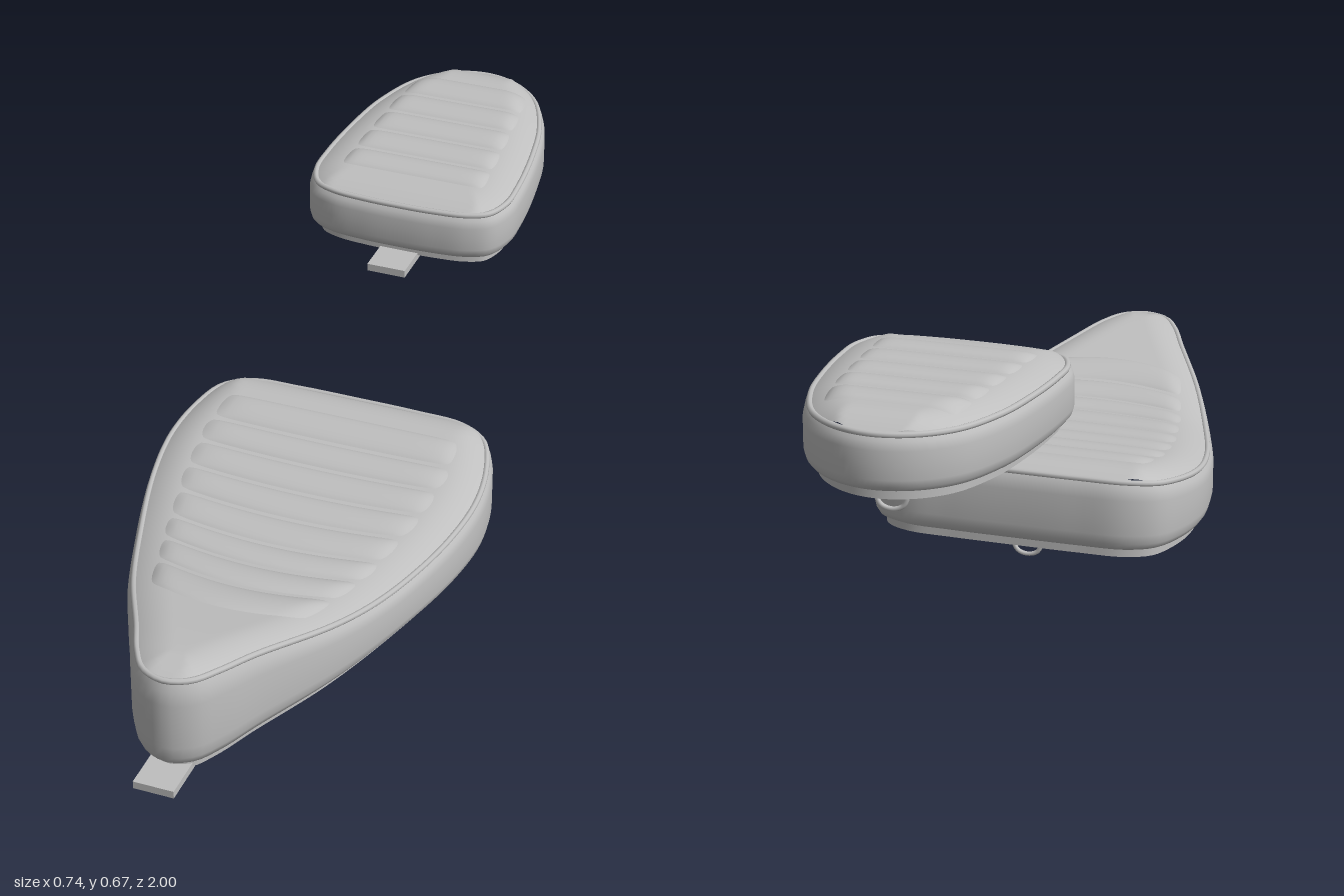
import * as THREE from 'three';

const grey = new THREE.MeshStandardMaterial({ color: 0xbfbfbf });
grey.name = 'plain grey';
const clamp = THREE.MathUtils.clamp;

function add(parent, geometry, name) {
  const mesh = new THREE.Mesh(geometry, grey);
  mesh.name = name;
  parent.add(mesh);
  return mesh;
}

// Straight-line lookup in a list of [key, value] pairs
function lookup(table, k) {
  for (let i = 1; i < table.length; i++) {
    const [a, va] = table[i - 1], [b, vb] = table[i];
    if (k <= b || i === table.length - 1) return va + (vb - va) * clamp((k - a) / (b - a), 0, 1);
  }
}

// Skin over equal-length rows of points; closed rows wrap around
function skin(rows, closed) {
  const n = rows[0].length, index = [];
  for (let i = 0; i < rows.length - 1; i++) {
    for (let j = 0; j < (closed ? n : n - 1); j++) {
      const k = (j + 1) % n, a = i * n + j, b = i * n + k;
      index.push(a, a + n, b, b, a + n, b + n);
    }
  }
  const g = new THREE.BufferGeometry();
  g.setAttribute('position', new THREE.Float32BufferAttribute(rows.flat(2), 3));
  g.setIndex(index);
  g.computeVertexNormals();
  return g;
}

function makeSeat(name, s) {
  const seat = new THREE.Group();
  seat.name = name;

  // Plan outline, mirrored from its left half [x, z]
  const half = s.outline;
  const loop = [...half, ...half.slice(1, -1).reverse().map(([x, z]) => [-x, z])];
  const curve = new THREE.CatmullRomCurve3(loop.map(([x, z]) => new THREE.Vector3(x, 0, z)), true);
  const N = 144;
  const plan = curve.getSpacedPoints(N).slice(0, N);
  const inset = d => plan.map((p, j) => {
    const t = plan[(j + 1) % N].clone().sub(plan[(j + N - 1) % N]).normalize();
    return [p.x - t.z * d, p.z + t.x * d];
  });
  const zBack = half[0][1], zFront = half[half.length - 1][1];
  const halfWidth = z => {
    let w = 0;
    for (let j = 0; j < N; j++) {
      const a = plan[j], b = plan[(j + 1) % N];
      if ((a.z - z) * (b.z - z) <= 0 && a.z !== b.z)
        w = Math.max(w, a.x + (b.x - a.x) * (z - a.z) / (b.z - a.z));
    }
    return w;
  };

  // Height of the crowned top
  const seamInset = 0.014;
  const topY = (x, z) => {
    const e = Math.min(halfWidth(z) - Math.abs(x), z - zBack, zFront - z) - seamInset;
    const u = clamp(e / 0.085, 0, 1);
    return s.seam(z) + s.crown(z) * (1 - (1 - u) ** 2);
  };
  const toSpine = ([x, z], k) => [x * (1 - k), z + (clamp(z, s.spine[0], s.spine[1]) - z) * k];

  // Upholstered side wall
  const wall = [[0.024, 0], [0.011, 0.04], [0.004, 0.12], [0, 0.25], [0, 0.5], [0, 0.75], [0.004, 0.9], [seamInset, 1]];
  add(seat, skin(wall.map(([d, f]) => inset(d).map(([x, z]) =>
    [x, s.bottom(z) + (s.seam(z) - s.bottom(z)) * f, z])), true), 'cushionSide');

  // Crowned top
  const seamLine = inset(seamInset), top = [];
  for (let i = 0; i <= 24; i++) {
    const k = (i / 24) ** 1.5;
    top.push(seamLine.map(p => {
      const [x, z] = toSpine(p, k);
      return [x, topY(x, z), z];
    }));
  }
  add(seat, skin(top, true), 'cushionTop');

  // Piping along the seam
  const seam = new THREE.CatmullRomCurve3(seamLine.map(([x, z]) => new THREE.Vector3(x, s.seam(z), z)), true);
  add(seat, new THREE.TubeGeometry(seam, 180, 0.0065, 8, true), 'piping');

  // Padded pleats between stitched lines
  for (let p = 0; p < s.pleats.length - 1; p++) {
    const rows = [];
    for (let i = 0; i <= 12; i++) {
      const v = i / 12, zc = THREE.MathUtils.lerp(s.pleats[p], s.pleats[p + 1], v);
      const bow = s.bow * (p + v) / (s.pleats.length - 1);
      const row = [];
      for (let j = 0; j <= 28; j++) {
        const t = j / 14 - 1;
        const z = zc - bow * t * t, x = t * lookup(s.panel, z);
        const puff = Math.sin(Math.PI * v) ** 0.6 * (1 - t ** 12);
        row.push([x, topY(x, z) - 0.004 + 0.013 * puff, z]);
      }
      rows.push(row);
    }
    add(seat, skin(rows, false), 'pleat');
  }

  // Base pan
  const panEdge = inset(0.027);
  const pan = (lift, k) => panEdge.map(p => {
    const [x, z] = toSpine(p, k);
    return [x, s.bottom(z) + lift, z];
  });
  add(seat, skin([pan(-0.018, 1), pan(-0.018, 0)], true), 'basePan');
  add(seat, skin([pan(-0.018, 0), pan(0.006, 0)], true), 'basePanRim');

  // Mounting tongue
  const [tz, ty] = s.tongue;
  add(seat, new THREE.BoxGeometry(0.088, 0.017, 0.17), 'tongue').position.set(0, ty, tz - 0.085);

  // Round rubber feet
  for (const [x, z] of s.feet) {
    for (const side of [1, -1]) {
      add(seat, new THREE.CylinderGeometry(0.018, 0.018, 0.012, 20), 'foot')
        .position.set(side * x, s.bottom(z) - 0.02, z);
    }
  }

  // Latch loop
  const [lz, ly] = s.latch, ceiling = s.bottom(lz) - 0.012;
  const bend = [[-0.033, ceiling], [-0.033, ly + 0.035], [-0.022, ly + 0.012], [0, ly + 0.005],
    [0.022, ly + 0.012], [0.033, ly + 0.035], [0.033, ceiling]];
  add(seat, new THREE.TubeGeometry(new THREE.CatmullRomCurve3(
    bend.map(([x, y]) => new THREE.Vector3(x, y, lz))), 40, 0.005, 8), 'latchLoop');
  return seat;
}

export function createModel() {
  const model = new THREE.Group();
  model.name = 'seatSet';

  // Large teardrop seat
  model.add(makeSeat('mainSeat', {
    outline: [[0, -0.15], [0.14, -0.149], [0.25, -0.142], [0.318, -0.105], [0.352, -0.03], [0.368, 0.08], [0.352, 0.22],
      [0.296, 0.42], [0.23, 0.6], [0.142, 0.78], [0.1, 0.87], [0.06, 0.927], [0, 0.95]],
    spine: [0.1, 0.86],
    bottom: z => 0.084 - 0.046 * (z + 0.15) / 1.1,
    seam: z => z > 0.4
      ? 0.2125 - 0.0375 * Math.cos(Math.PI * Math.min(1, (z - 0.4) / 0.55))
      : 0.175 + 0.07 * ((0.4 - z) / 0.55) ** 1.6,
    crown: z => z > 0.4 ? 0.022 : 0.022 + 0.01 * (0.4 - z) / 0.55,
    pleats: [-0.05, 0.04, 0.12, 0.205, 0.29, 0.38, 0.46, 0.55, 0.66],
    panel: [[-0.05, 0.28], [0.06, 0.293], [0.2, 0.282], [0.4, 0.24], [0.61, 0.18]],
    bow: 0.045,
    tongue: [1, 0.022],
    feet: [[0.125, 0.69], [0.2, 0.07]],
    latch: [-0.025, 0],
  }));

  // Small passenger seat
  const along = z => clamp((-0.365 - z) / 0.635, 0, 1);
  model.add(makeSeat('passengerSeat', {
    outline: [[0, -1], [0.08, -0.98], [0.155, -0.915], [0.205, -0.8], [0.228, -0.68], [0.24, -0.54], [0.237, -0.46],
      [0.21, -0.402], [0.16, -0.377], [0.08, -0.367], [0, -0.365]],
    spine: [-0.84, -0.54],
    bottom: z => 0.5 + 0.018 * along(z),
    seam: z => 0.608 + 0.026 * along(z),
    crown: z => 0.022 + 0.009 * along(z),
    pleats: [-0.89, -0.8, -0.715, -0.63, -0.545, -0.465],
    panel: [[-0.89, 0.138], [-0.8, 0.152], [-0.6, 0.167], [-0.46, 0.175]],
    bow: 0,
    tongue: [-0.31, 0.479],
    feet: [[0.115, -0.49], [0.1, -0.845]],
    latch: [-0.875, 0.435],
  }));
  return model;
}
